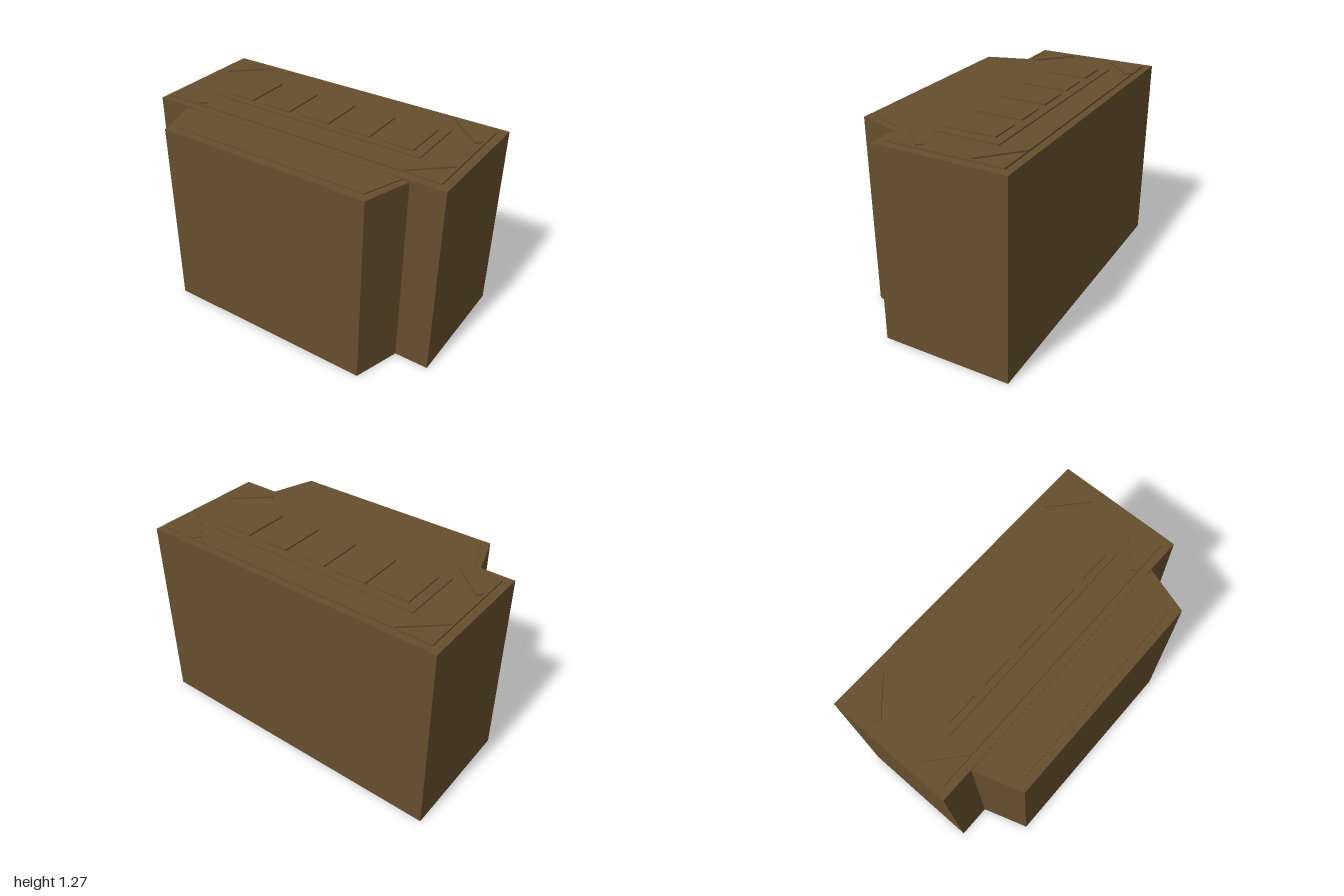
import * as THREE from 'three';

export function createModel() {
  const model = new THREE.Group();
  const brown = new THREE.MeshStandardMaterial({ color: 0x654e2e });
  brown.name = 'brown';

  function add(name, geometry, x = 0, y = 0, z = 0) {
    const mesh = new THREE.Mesh(geometry, brown);
    mesh.name = name;
    mesh.position.set(x, y, z);
    model.add(mesh);
    return mesh;
  }

  // Box given by half width, height range and depth range
  function block(name, x, halfWidth, y0, y1, z0, z1) {
    return add(name, new THREE.BoxGeometry(halfWidth * 2, y1 - y0, z1 - z0),
      x, (y0 + y1) / 2, (z0 + z1) / 2);
  }

  // Upright prism whose plan narrows toward the front
  function taperedPrism(name, backHalf, frontHalf, z0, z1, y0, y1) {
    const plan = new THREE.Shape([
      new THREE.Vector2(-backHalf, -z0), new THREE.Vector2(-frontHalf, -z1),
      new THREE.Vector2(frontHalf, -z1), new THREE.Vector2(backHalf, -z0),
    ]);
    const geometry = new THREE.ExtrudeGeometry(plan, { depth: y1 - y0, bevelEnabled: false });
    geometry.rotateX(-Math.PI / 2);
    return add(name, geometry, 0, y0, 0);
  }

  // Main body and front bay
  block('mainBody', 0, 1, 0, 1.24, -0.553, 0.26);
  taperedPrism('frontBay', 0.785, 0.69, 0.26, 0.553, 0, 1.227);

  // Raised roof panels
  taperedPrism('bayRoofPanel', 0.745, 0.655, 0.26, 0.5, 1.227, 1.235);
  block('roofPanel', 0, 0.948, 1.24, 1.25, -0.508, 0.21);
  block('innerRoofPanel', 0, 0.73, 1.25, 1.258, -0.35, 0.05);

  // Row of five square pads
  for (let i = -2; i <= 2; i++) {
    block('roofPad', i * 0.283, 0.102, 1.258, 1.267, -0.295, 0.005);
  }

  // Diagonal bars across the roof corners
  for (const sx of [-1, 1]) {
    for (const sz of [-1, 1]) {
      const bar = block('cornerBar', sx * 0.815, 0.144, 1.25, 1.26, -0.025, 0.025);
      bar.position.z = -0.149 + sz * 0.248;
      bar.rotation.y = sx * sz * 0.73;
    }
  }

  return model;
}
